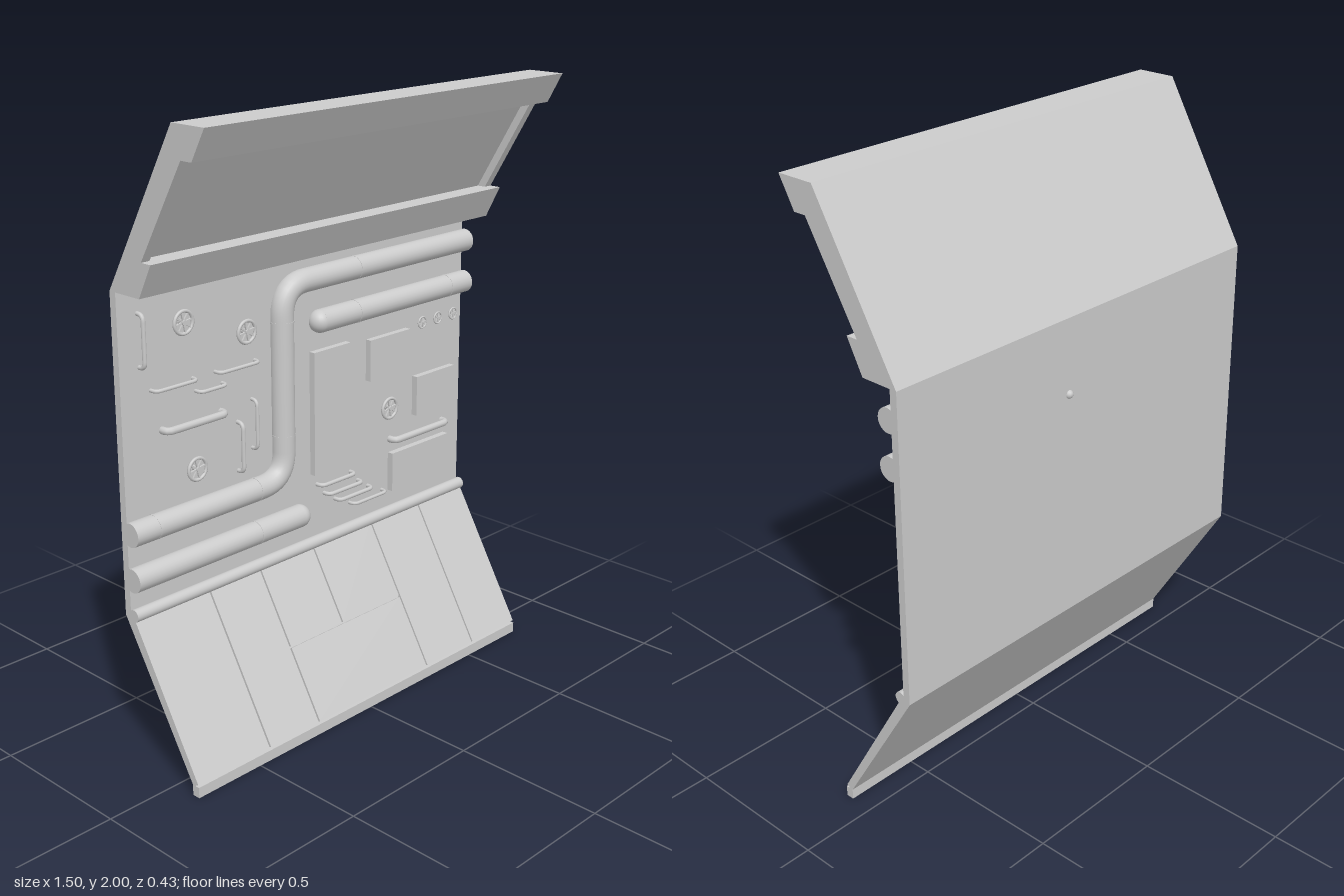
import * as THREE from 'three';

const W = 1.5, WALL = -0.18; // panel width, z of the wall's front face
const mat = new THREE.MeshStandardMaterial({ color: 0xcccccc });

export function createModel() {
  const model = new THREE.Group();

  const add = (name, geo, x = 0, y = 0, z = 0, parent = model) => {
    const m = new THREE.Mesh(geo, mat);
    m.name = name;
    m.position.set(x, y, z);
    parent.add(m);
    return m;
  };

  // Extrude a (z, y) side profile along x
  const slab = (name, pts, width, x = 0) => {
    const geo = new THREE.ExtrudeGeometry(new THREE.Shape(pts.map(p => new THREE.Vector2(...p))),
      { depth: width, bevelEnabled: false });
    geo.translate(0, 0, -width / 2).rotateY(-Math.PI / 2);
    add(name, geo, x);
  };

  // Tube through corner points, each corner rounded by the given bend size
  const bentTube = (name, pts, r, bend, steps, sides) => {
    const v = pts.map(p => new THREE.Vector3(...p));
    const path = new THREE.CurvePath();
    let from = v[0];
    for (let i = 1; i < v.length - 1; i++) {
      const a = v[i].clone().add(v[i - 1].clone().sub(v[i]).setLength(bend));
      const b = v[i].clone().add(v[i + 1].clone().sub(v[i]).setLength(bend));
      path.add(new THREE.LineCurve3(from, a));
      path.add(new THREE.QuadraticBezierCurve3(a, v[i], b));
      from = b;
    }
    path.add(new THREE.LineCurve3(from, v[v.length - 1]));
    add(name, new THREE.TubeGeometry(path, steps, r, sides), 0, 0, 0);
  };

  // Folded wall: sloped foot, upright middle, overhanging top with two lips
  const profile = recess => [
    [0.078, 0], [0.078, 0.035], [-0.205, 0.5], [-0.205, 1.5], [0.087, 2], [0.217, 2],
    [0.163, 1.905], [0.12 - recess, 1.905], [-0.06 - recess, 1.605], [-0.02, 1.605],
    [-0.075, 1.5], [WALL, 1.5], [WALL, 0.5], [0.093, 0.035], [0.105, 0.035], [0.105, 0]];
  slab('wallBody', profile(0.03), W - 0.06);
  for (const s of [-1, 1]) slab('wallEnd', profile(0), 0.03, s * (W / 2 - 0.015));

  // Cladding plates on the sloped foot: x0, x1, y0, y1
  const foot = new THREE.Group();
  foot.name = 'footCladding';
  foot.position.set(0, 0.035, 0.093);
  foot.rotation.x = Math.atan2(-0.273, 0.465);
  model.add(foot);
  const k = 0.539 / 0.465, gap = 0.003;
  for (const [x0, x1, y0, y1] of [
    [-0.75, -0.455, 0.035, 0.49], [-0.455, -0.24, 0.035, 0.49], [0.28, 0.52, 0.035, 0.49],
    [0.52, 0.75, 0.035, 0.49], [-0.24, 0.28, 0.035, 0.255], [-0.24, 0, 0.255, 0.49],
    [0, 0.28, 0.255, 0.49]]) {
    const l = x0 === -0.75 ? x0 : x0 + gap, r = x1 === 0.75 ? x1 : x1 - gap;
    add('footPlate', new THREE.BoxGeometry(r - l, (y1 - y0) * k - 2 * gap, 0.012),
      (l + r) / 2, ((y0 + y1) / 2 - 0.035) * k, 0.006, foot);
  }

  // Straight rod along x
  const rod = (name, x0, x1, y, z, r) => add(name,
    new THREE.CylinderGeometry(r, r, x1 - x0, 24).rotateZ(Math.PI / 2), (x0 + x1) / 2, y, z);
  rod('foldRail', -0.75, 0.75, 0.506, -0.166, 0.02);

  // Large pipes
  const R = 0.038, PZ = -0.166;
  bentTube('bentPipe', [[0.75, 1.403, PZ], [-0.125, 1.403, PZ], [-0.125, 0.768, PZ], [-0.75, 0.768, PZ]],
    R, 0.1, 120, 24);
  add('pipeEnd', new THREE.CircleGeometry(R, 24).rotateY(Math.PI / 2), 0.75, 1.403, PZ);
  add('pipeEnd', new THREE.CircleGeometry(R, 24).rotateY(-Math.PI / 2), -0.75, 0.768, PZ);
  rod('upperPipe', 0.04, 0.75, 1.258, PZ, R);
  add('pipeCap', new THREE.SphereGeometry(R, 24, 16), 0.042, 1.258, PZ);
  rod('lowerPipe', -0.75, -0.06, 0.621, PZ, R);
  add('pipeCap', new THREE.SphereGeometry(R, 24, 16), -0.06, 0.621, PZ);
  add('pipeStud', new THREE.SphereGeometry(0.014, 12, 8), 0.065, 1.255, -0.203);

  // Thin collars at the pipe joints
  for (const [x, y] of [[0.2, 1.403], [0.2, 1.258], [0.65, 1.258], [-0.25, 0.768], [-0.66, 0.768], [-0.25, 0.621]])
    rod('pipeCollar', x - 0.003, x + 0.003, y, PZ, R + 0.001);
  for (const y of [1.29, 0.92])
    add('pipeCollar', new THREE.CylinderGeometry(R + 0.001, R + 0.001, 0.006, 24), -0.125, y, PZ);

  // Equipment boxes: x0, x1, y0, y1, depth
  for (const [x0, x1, y0, y1, d] of [
    [0.008, 0.175, 0.742, 1.16, 0.022], [0.27, 0.465, 1.003, 1.145, 0.022],
    [0.503, 0.698, 0.825, 0.965, 0.022], [0.382, 0.67, 0.58, 0.718, 0.022]])
    add('equipmentBox', new THREE.BoxGeometry(x1 - x0, y1 - y0, d + 0.01),
      (x0 + x1) / 2, (y0 + y1) / 2, WALL + d / 2 - 0.005);

  // Small conduits, bent into the wall at both ends: x0, y0, x1, y1, radius
  for (const [x0, y0, x1, y1, r] of [
    [-0.677, 1.265, -0.677, 1.425, 0.007], [-0.64, 1.187, -0.48, 1.187, 0.006],
    [-0.392, 1.187, -0.23, 1.187, 0.006], [-0.47, 1.145, -0.365, 1.145, 0.006],
    [-0.603, 1.055, -0.372, 1.055, 0.012], [-0.306, 0.845, -0.306, 1.005, 0.007],
    [-0.246, 0.905, -0.246, 1.065, 0.006], [0.037, 0.7, 0.195, 0.7, 0.007],
    [0.07, 0.66, 0.23, 0.66, 0.007], [0.12, 0.625, 0.28, 0.625, 0.007],
    [0.19, 0.59, 0.35, 0.59, 0.006], [0.39, 0.765, 0.66, 0.765, 0.012]])
    bentTube('conduit', [[x0, y0, WALL - 0.005], [x0, y0, WALL + 0.026],
      [x1, y1, WALL + 0.026], [x1, y1, WALL - 0.005]], r, 0.02, 32, 10);

  // Valve wheels: x, y, radius
  for (const [x, y, r] of [
    [-0.522, 1.37, 0.04], [-0.275, 1.29, 0.04], [-0.487, 0.905, 0.04], [0.37, 0.885, 0.04],
    [0.54, 1.15, 0.022], [0.62, 1.15, 0.022], [0.7, 1.15, 0.022]]) {
    const wheel = new THREE.Group();
    wheel.name = 'valveWheel';
    wheel.position.set(x, y, WALL + r * 0.45);
    model.add(wheel);
    add('wheelRim', new THREE.TorusGeometry(r * 0.87, r * 0.14, 8, 24), 0, 0, 0, wheel);
    add('wheelHub', new THREE.CylinderGeometry(r * 0.2, r * 0.2, r * 0.65, 12).rotateX(Math.PI / 2),
      0, 0, -r * 0.15, wheel);
    for (let i = 0; i < 4; i++)
      add('wheelSpoke', new THREE.BoxGeometry(r * 1.7, r * 0.14, r * 0.14), 0, 0, 0, wheel)
        .rotation.z = i * Math.PI / 4 + 0.2;
  }

  return model;
}
